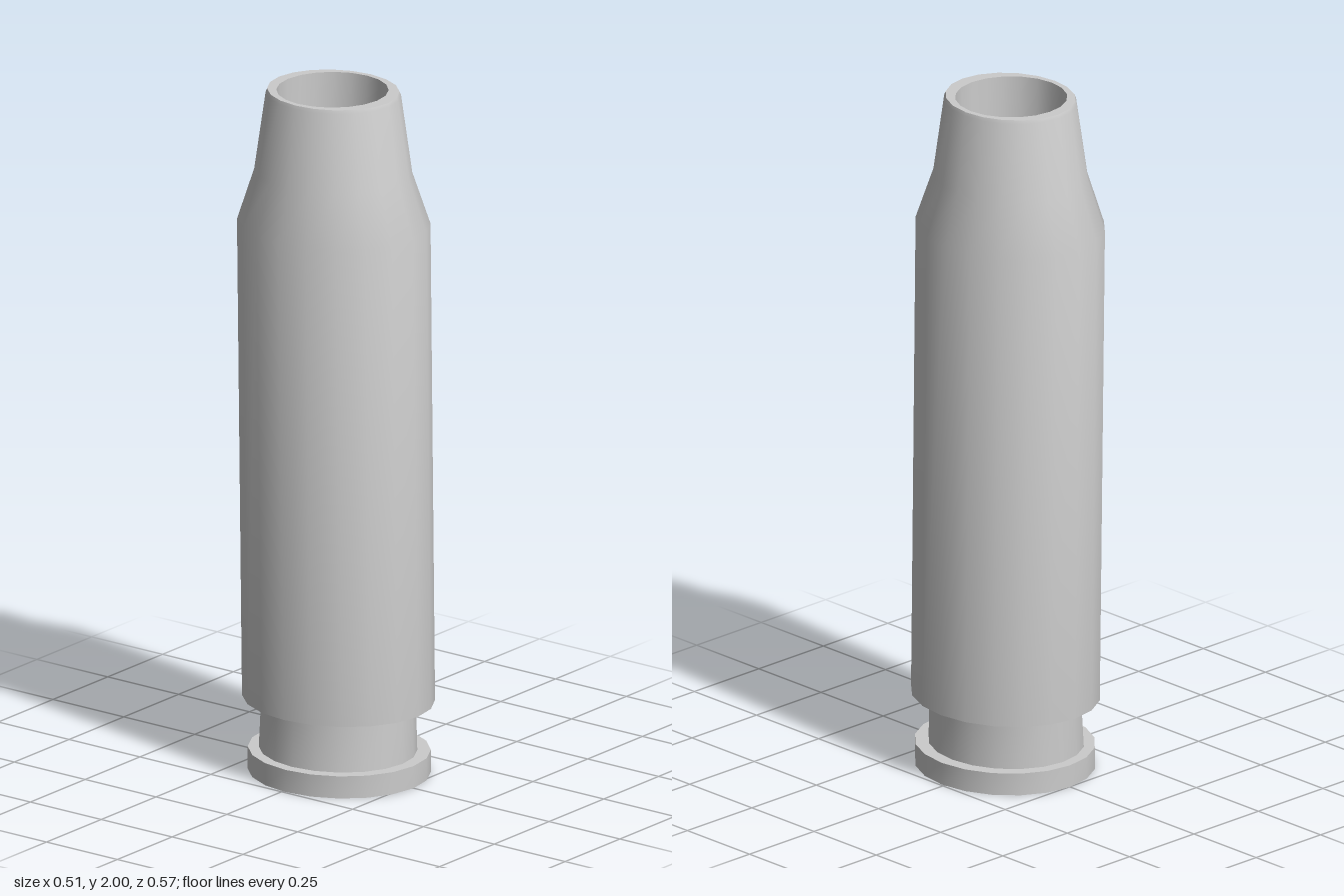
import * as THREE from 'three';
import { toCreasedNormals } from 'three/addons/utils/BufferGeometryUtils.js';

const SIDES = 20;

// Skin a stack of elliptical rings, each [y, rx, rz, centreX, centreZ]; a zero radius closes an end.
function loft(name, rings) {
  const pos = [], index = [];
  for (const [y, rx, rz, cx, cz] of rings) {
    for (let i = 0; i < SIDES; i++) {
      const a = (i / SIDES) * Math.PI * 2;
      pos.push(cx + rx * Math.sin(a), y, cz + rz * Math.cos(a));
    }
  }
  for (let r = 0; r < rings.length - 1; r++) {
    for (let i = 0; i < SIDES; i++) {
      const a = r * SIDES + i, b = r * SIDES + (i + 1) % SIDES;
      const c = a + SIDES, d = b + SIDES;
      if (rings[r][1] > 0) index.push(a, b, d);
      if (rings[r + 1][1] > 0) index.push(a, d, c);
    }
  }
  const geo = new THREE.BufferGeometry();
  geo.setAttribute('position', new THREE.Float32BufferAttribute(pos, 3));
  geo.setIndex(index);
  const mesh = new THREE.Mesh(
    toCreasedNormals(geo, 0.7),
    new THREE.MeshStandardMaterial({ color: 0xcccccc })
  );
  mesh.name = name;
  return mesh;
}

export function createModel() {
  const model = new THREE.Group();
  model.name = 'cartridgeCase';

  // Flat base disc
  model.add(loft('baseRim', [
    [0, 0, 0, 0, 0.01],
    [0, 0.245, 0.262, 0, 0.01],
    [0.065, 0.245, 0.262, 0, 0.01],
    [0.065, 0, 0, 0, 0.01],
  ]));

  // Narrow extractor groove between base and body
  model.add(loft('groove', [
    [0.06, 0.21, 0.228, -0.003, 0.008],
    [0.215, 0.203, 0.223, 0.002, 0.006],
  ]));

  // Slightly leaning body, shoulder, neck, lip and bore
  model.add(loft('body', [
    [0.212, 0.19, 0.21, 0.003, 0.005],
    [0.212, 0.251, 0.28, 0.003, 0.005],
    [1.615, 0.253, 0.28, -0.007, -0.004],
    [1.765, 0.206, 0.229, -0.008, -0.005],
    [1.99, 0.177, 0.196, -0.005, -0.007],
    [2, 0.173, 0.192, -0.005, -0.007],
    [2, 0.157, 0.157, -0.005, -0.01],
    [1.6, 0.156, 0.155, -0.005, -0.011],
    [1.6, 0, 0, -0.005, -0.011],
  ]));

  return model;
}
